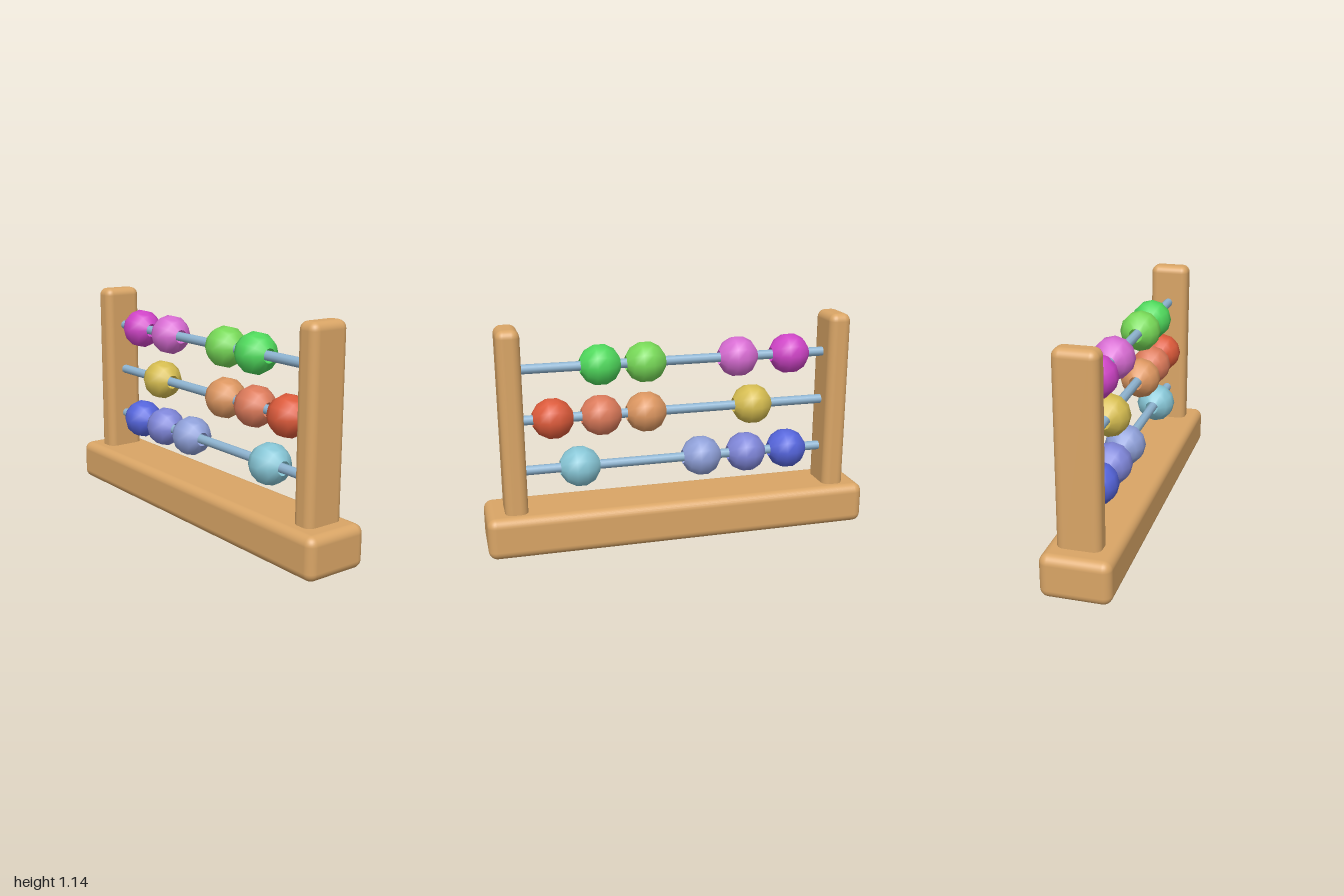
import * as THREE from 'three';
import { RoundedBoxGeometry } from 'three/addons/geometries/RoundedBoxGeometry.js';

const material = (color, side = THREE.FrontSide) => new THREE.MeshStandardMaterial({ color, side });

const RACK_Z = -0.01;   // posts and rods sit slightly behind the middle of the base
const POST_X = 0.848;
const BEAD_RADIUS = 0.106;
const HOLE_ANGLE = THREE.MathUtils.degToRad(20);

const ROWS = [
  { y: 0.93, beads: [[-0.602, 0xd044c8], [-0.32, 0xd76bd2], [0.166, 0x77d957], [0.398, 0x4fd95c]] },
  { y: 0.671, beads: [[-0.402, 0xd6bd50], [0.166, 0xdc9660], [0.398, 0xdc7a5a], [0.642, 0xdc5a3a]] },
  { y: 0.409, beads: [[-0.605, 0x5565dc], [-0.375, 0x7f86d9], [-0.129, 0x8fa0d9], [0.513, 0x87c6d6]] },
];

// Bead profile: a coarse half circle cut off at both ends where the rod passes
function beadGeometry() {
  const points = [];
  for (let i = 0; i <= 5; i++) {
    const a = HOLE_ANGLE + (i / 5) * (Math.PI - 2 * HOLE_ANGLE);
    points.push(new THREE.Vector2(BEAD_RADIUS * Math.sin(a), -BEAD_RADIUS * Math.cos(a)));
  }
  return new THREE.LatheGeometry(points, 12).rotateZ(Math.PI / 2);
}

// Wall of the hole through a bead
function holeGeometry() {
  const r = BEAD_RADIUS * Math.sin(HOLE_ANGLE);
  const length = 2 * BEAD_RADIUS * Math.cos(HOLE_ANGLE);
  return new THREE.CylinderGeometry(r, r, length, 12, 1, true).rotateZ(Math.PI / 2);
}

export function createModel() {
  const model = new THREE.Group();
  model.name = 'abacus';

  const add = (parent, name, geometry, mat, x, y, z) => {
    const mesh = new THREE.Mesh(geometry, mat);
    mesh.name = name;
    mesh.position.set(x, y, z);
    parent.add(mesh);
    return mesh;
  };

  const wood = material(0xd9a566);
  const metal = material(0x8fb5d2);

  // Wooden base
  add(model, 'base', new RoundedBoxGeometry(2, 0.215, 0.34, 4, 0.045), wood, 0, 0.1075, 0);

  // Two posts, sunk into the base
  const postGeometry = new RoundedBoxGeometry(0.115, 1.02, 0.212, 4, 0.04);
  for (const [side, name] of [[1, 'leftPost'], [-1, 'rightPost']]) {
    add(model, name, postGeometry, wood, side * POST_X, 0.63, RACK_Z);
  }

  // Rods with their beads
  const rodGeometry = new THREE.CylinderGeometry(0.024, 0.024, 1.62, 10).rotateZ(Math.PI / 2);
  const shell = beadGeometry();
  const hole = holeGeometry();
  ROWS.forEach(({ y, beads }, i) => {
    const row = new THREE.Group();
    row.name = `row${i + 1}`;
    row.position.set(0, y, RACK_Z);
    model.add(row);
    add(row, 'rod', rodGeometry, metal, 0, 0, 0);
    beads.forEach(([x, color], j) => {
      const bead = new THREE.Group();
      bead.name = `bead${j + 1}`;
      bead.position.x = x;
      row.add(bead);
      add(bead, 'beadShell', shell, material(color), 0, 0, 0);
      add(bead, 'beadHole', hole, material(color, THREE.BackSide), 0, 0, 0);
    });
  });

  return model;
}
